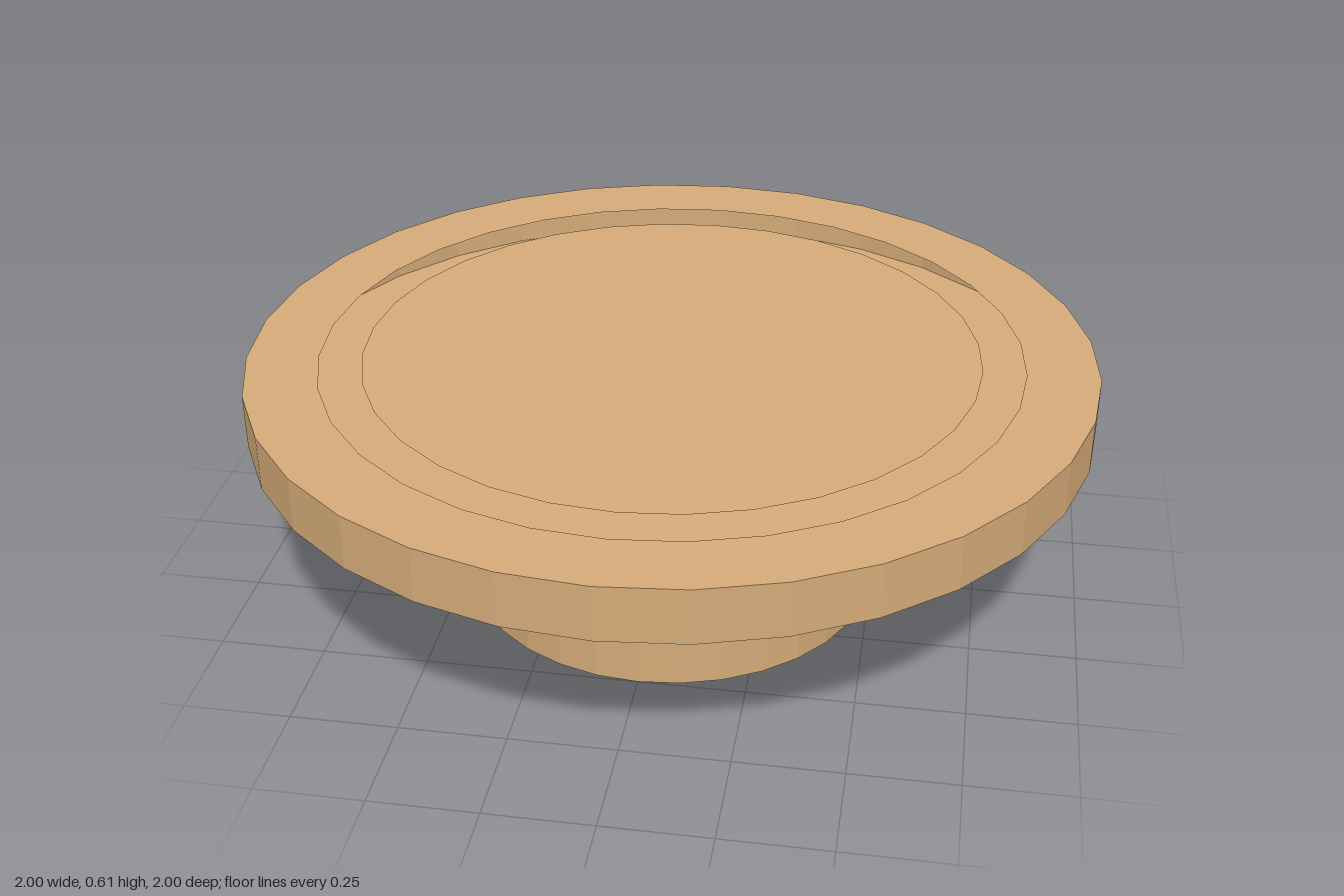
import * as THREE from 'three';

const SIDES = 32;
const FACET = (Math.PI * 2) / SIDES;
const BASE_R = 0.5, PLATE_LOW = 0.475, PLATE_TOP = 0.605;

export function createModel() {
  const material = (name, color) => {
    const m = new THREE.MeshStandardMaterial({ color, flatShading: true, side: THREE.DoubleSide });
    m.name = name;
    return m;
  };
  const tan = material('tan', 0xd4aa78);
  const paleGrey = material('paleGrey', 0xc0c2bd);
  const slateGrey = material('slateGrey', 0x73827e);

  const model = new THREE.Group();
  model.name = 'pedestalTable';
  const add = (name, geometry, mat) => {
    const mesh = new THREE.Mesh(geometry, mat);
    mesh.name = name;
    model.add(mesh);
  };

  // open tube wall between two heights, optionally covering only some facets
  const wall = (r, y0, y1, first = 0, count = SIDES) =>
    new THREE.CylinderGeometry(r, r, y1 - y0, count, 1, true, first * FACET, count * FACET)
      .translate(0, (y0 + y1) / 2, 0);
  // flat disc facing up or down
  const disc = (r, y, up) =>
    new THREE.CircleGeometry(r, SIDES).rotateX(up ? -Math.PI / 2 : Math.PI / 2).translate(0, y, 0);

  // pedestal
  add('pedestalWall', wall(BASE_R, 0, PLATE_LOW), tan);
  add('pedestalBottom', disc(BASE_R, 0, false), tan);

  // hollow plate: rim wall, underside, top rim and a separate centre disc with a gap around it
  add('plateWall', wall(1, PLATE_LOW, PLATE_TOP), tan);
  add('plateUnderside', disc(1, PLATE_LOW, false), tan);
  add('plateRim', new THREE.RingGeometry(0.83, 1, SIDES).rotateX(-Math.PI / 2).translate(0, PLATE_TOP, 0), tan);
  add('plateCentre', disc(0.73, PLATE_TOP, true), tan);

  // three painted bands, pale towards the front and slate around the rest
  const paleFirst = -9, paleCount = 12;
  for (const [y0, y1] of [[0.11, 0.16], [0.21, 0.265], [0.33, 0.4]]) {
    add('paleBand', wall(BASE_R + 0.002, y0, y1, paleFirst, paleCount), paleGrey);
    add('slateBand', wall(BASE_R + 0.002, y0, y1, paleFirst + paleCount, SIDES - paleCount), slateGrey);
  }
  return model;
}
